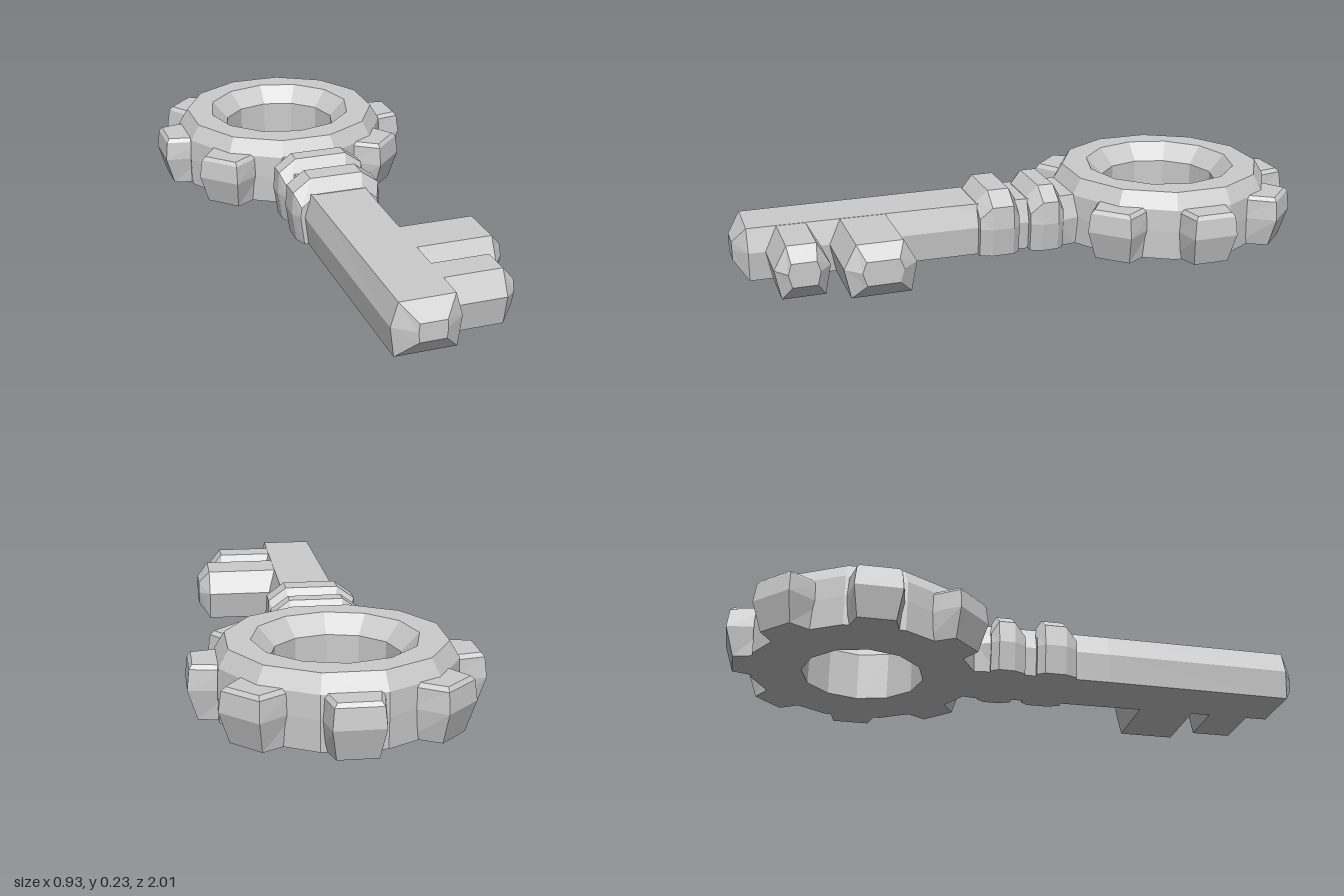
import * as THREE from 'three';

const material = new THREE.MeshStandardMaterial({ color: 0xcccccc, flatShading: true });

// Skin a list of equal-length point loops; either cap the ends or join last to first
function loft(name, loops, closed = false) {
  const n = loops[0].length, index = [];
  const last = closed ? loops.length : loops.length - 1;
  for (let j = 0; j < last; j++) {
    const a = j * n, b = ((j + 1) % loops.length) * n;
    for (let i = 0; i < n; i++) {
      const k = (i + 1) % n;
      index.push(a + i, a + k, b + k, a + i, b + k, b + i);
    }
  }
  if (!closed) {
    const e = (loops.length - 1) * n;
    for (let i = 1; i < n - 1; i++) index.push(0, i + 1, i, e, e + i, e + i + 1);
  }
  const indexed = new THREE.BufferGeometry();
  indexed.setAttribute('position', new THREE.Float32BufferAttribute(loops.flat(2), 3));
  indexed.setIndex(index);
  const geometry = indexed.toNonIndexed();
  geometry.computeVertexNormals();
  const mesh = new THREE.Mesh(geometry, material);
  mesh.name = name;
  return mesh;
}

// Six-sided bar section: flat base, widest at mid height, narrower flat top
function section(z, cx, base, mid, top, y0, y1) {
  const ym = y0 + (y1 - y0) * 0.56;
  return [[-base, y0], [base, y0], [mid, ym], [top, y1], [-top, y1], [-mid, ym]]
    .map(([x, y]) => [cx + x, y, z]);
}

// Collar section: upright sides with a bevelled top
function collarSection(z, cx, s, h) {
  return [[-0.14, 0], [0.14, 0], [0.155, 0.1], [0.15, h - 0.045], [0.09, h], [-0.09, h], [-0.15, h - 0.045], [-0.155, 0.1]]
    .map(([x, y]) => [cx + x * s, y, z]);
}

// Faceted bow ring, outer corners offset half a step from the inner ones
function bowRing() {
  const profile = [[0.385, 0, 0.5], [0.388, 0.1, 0.5], [0.385, 0.175, 0.5], [0.352, 0.23, 0.5],
    [0.265, 0.23, 0], [0.207, 0.17, 0], [0.207, 0, 0]];
  const loops = profile.map(([r, y, twist]) => Array.from({ length: 12 }, (_, i) => {
    const a = (i + twist) * Math.PI / 6;
    return [r * Math.sin(a), y, r * Math.cos(a)];
  }));
  return loft('bowRing', loops, true);
}

// Tapered tooth pointing along +z from the ring
function tooth() {
  const levels = [[0, 0.09, 0.062, 0.435], [0.1, 0.1, 0.078, 0.465], [0.165, 0.096, 0.072, 0.458], [0.178, 0.085, 0.062, 0.448]];
  return loft('bowTooth', levels.map(([y, b, t, r]) => [[-b, y, 0.33], [-t, y, r], [t, y, r], [b, y, 0.33]]));
}

// Bit projecting to +x, with a bevelled end
function bit(name, z, half, tip) {
  const mesh = loft(name, [
    section(0, 0, half - 0.02, half, half - 0.042, 0, 0.177),
    section(tip - 0.04, 0, half - 0.02, half, half - 0.042, 0, 0.177),
    section(tip, 0, half * 0.45, half * 0.57, half * 0.45, 0.05, 0.13),
  ]);
  mesh.rotation.y = Math.PI / 2;
  mesh.position.z = z;
  return mesh;
}

export function createModel() {
  const key = new THREE.Group();
  key.name = 'key';

  // Bow with seven teeth, leaving the shaft side free
  const bow = new THREE.Group();
  bow.name = 'bow';
  bow.position.z = -0.54;
  bow.add(bowRing());
  for (let i = 1; i < 8; i++) {
    const t = tooth();
    t.rotation.y = i * Math.PI / 4;
    bow.add(t);
  }
  key.add(bow);

  // Neck flaring toward the ring
  key.add(loft('neck', [
    section(-0.25, 0, 0.12, 0.13, 0.105, 0, 0.178),
    section(-0.17, 0, 0.11, 0.122, 0.1, 0, 0.178),
    section(-0.1, 0, 0.12, 0.14, 0.105, 0, 0.178),
  ]));

  // Two collars with bevelled edges
  for (const [z0, z1, cx] of [[-0.12, 0.0, 0], [0.04, 0.18, -0.005]]) {
    key.add(loft('collar', [
      collarSection(z0, cx, 0.9, 0.18),
      collarSection(z0 + 0.025, cx, 1.02, 0.222),
      collarSection(z1 - 0.04, cx, 1.02, 0.222),
      collarSection(z1, cx, 0.9, 0.18),
    ]));
  }

  // Shaft running from the neck to a bevelled tip
  key.add(loft('shaft', [
    section(-0.11, -0.005, 0.11, 0.122, 0.1, 0, 0.178),
    section(0.3, -0.01, 0.108, 0.12, 0.095, 0, 0.178),
    section(0.955, -0.013, 0.1, 0.113, 0.09, 0, 0.178),
    section(1, -0.01, 0.043, 0.046, 0.043, 0.06, 0.122),
  ]));

  // Bits on one side
  key.add(bit('longBit', 0.573, 0.118, 0.375));
  key.add(bit('shortBit', 0.81, 0.09, 0.312));

  return key;
}
